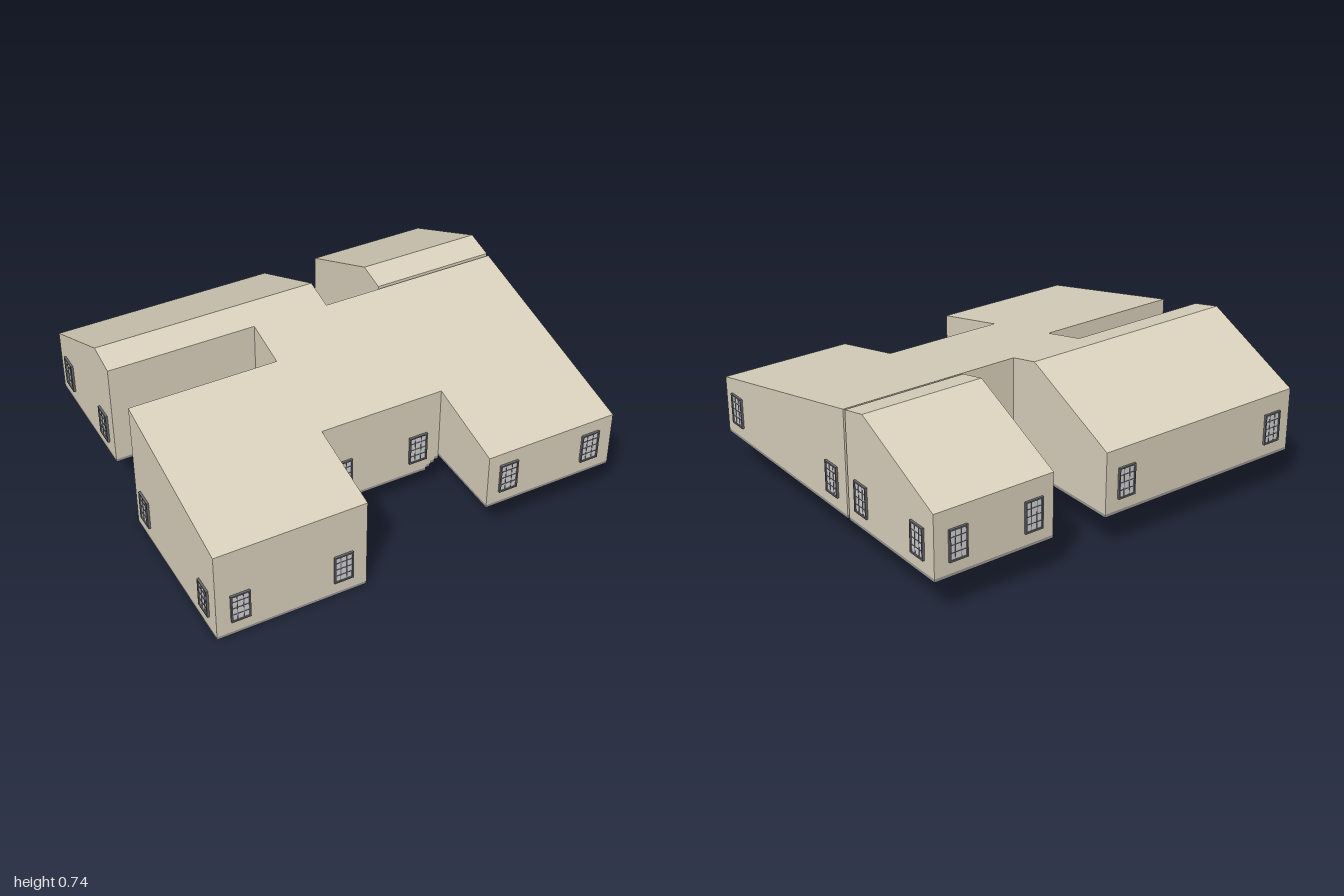
import * as THREE from 'three';

const mat = (name, color) => Object.assign(new THREE.MeshStandardMaterial({ color }), { name });

export function createModel() {
  const plaster = mat('plaster', 0xdbd2be);
  const stone = mat('stone', 0x9a9797);
  const floorWood = mat('floorWood', 0x43240c);
  const frameGrey = mat('frameGrey', 0x68686c);
  const glass = mat('glass', 0xd2d2d6);

  const house = new THREE.Group();
  house.name = 'house';
  const STEP = 0.0155; // height of a stair step and of the plinth
  const RIDGE_Z = -0.355, RIDGE_Y = 0.74;
  const W = 0.988; // half width of the walls
  const roofY = z => z > RIDGE_Z ? RIDGE_Y - (z - RIDGE_Z) * 0.2235 : RIDGE_Y + (z - RIDGE_Z) * 0.477;

  function box(parent, name, material, x0, x1, y0, y1, z0, z1) {
    const m = new THREE.Mesh(new THREE.BoxGeometry(x1 - x0, y1 - y0, z1 - z0), material);
    m.position.set((x0 + x1) / 2, (y0 + y1) / 2, (z0 + z1) / 2);
    m.name = name;
    parent.add(m);
    return m;
  }

  // Walls and sloped roof in one solid: side outline (z, y) swept along x
  function shell(parent, x0, x1, z0, z1, base) {
    const pts = [[z0, base], [z1, base], [z1, roofY(z1)]];
    if (z0 < RIDGE_Z && z1 > RIDGE_Z) pts.push([RIDGE_Z, RIDGE_Y]);
    pts.push([z0, roofY(z0)]);
    const shape = new THREE.Shape(pts.map(p => new THREE.Vector2(...p)));
    const geo = new THREE.ExtrudeGeometry(shape, { depth: x1 - x0, bevelEnabled: false });
    geo.rotateY(-Math.PI / 2).translate(x1, 0, 0);
    const m = new THREE.Mesh(geo, plaster);
    m.name = 'wallsAndRoof';
    parent.add(m);
  }

  // A room: shell on a thin plinth with a dark floor beneath
  function room(name, x0, x1, z0, z1, base) {
    const g = new THREE.Group();
    g.name = name;
    shell(g, x0, x1, z0, z1, base + STEP);
    box(g, 'plinth', stone, x0, x1, base + 0.002, base + STEP, z0, z1);
    box(g, 'floor', floorWood, x0 + 0.001, x1 - 0.001, base, base + 0.003, z0 + 0.001, z1 - 0.001);
    house.add(g);
  }

  // A flight of steps with the walls above it; along = 'x' rises to +x, 'z' rises to -z
  function stairs(name, along, n, x0, x1, z0, z1, base) {
    const g = new THREE.Group();
    g.name = name;
    for (let i = 0; i < n; i++) {
      const a = i / n, b = (i + 1) / n, y = base + i * STEP;
      const [xa, xb, za, zb] = along === 'x'
        ? [x0 + (x1 - x0) * a, x0 + (x1 - x0) * b, z0, z1]
        : [x0, x1, z1 - (z1 - z0) * b, z1 - (z1 - z0) * a];
      box(g, 'step', stone, xa, xb, y, y + STEP, za, zb);
      shell(g, xa, xb, za, zb, y + STEP);
    }
    house.add(g);
  }

  const MID = 8 * STEP, TOP = 12 * STEP; // floor levels

  // Low front wing
  room('lowWing', -W, -0.42, 0.015, 0.855, 0);
  room('lowWingFront', -0.42, -0.27, 0.44, 0.855, 0);
  stairs('lowStairs', 'x', 8, -0.42, -0.27, 0.015, 0.44, 0);
  // Middle hall
  room('hall', -0.27, 0.10, -0.115, 0.445, MID);
  room('hallCentre', 0.10, 0.25, -0.205, 0.445, MID);
  room('hallSide', 0.25, 0.335, -0.205, 0.18, MID);
  stairs('sideStairs', 'x', 4, 0.25, 0.335, 0.18, 0.445, MID);
  stairs('backStairs', 'z', 4, -0.27, 0.10, -0.205, -0.115, MID);
  // Upper rooms
  room('rightWing', 0.335, W, -0.205, 0.855, TOP);
  room('backRoom', -W, 0.10, -0.86, -0.21, TOP);
  room('backRoomLink', -0.27, 0.10, -0.21, -0.205, TOP);
  room('cornerRoom', 0.385, W, -0.86, -0.22, TOP);
  box(house, 'cornerRoomLink', plaster, 0.51, 0.86, TOP, 0.405, -0.22, -0.205);

  // Panels closing the spaces beside the stairs
  box(house, 'lowStairPanel', stone, -0.42, -0.27, 0.002, MID, 0.437, 0.441);
  box(house, 'sideStairPanel', stone, 0.25, 0.335, MID, TOP, 0.179, 0.183);
  box(house, 'backStairPanel', stone, 0.097, 0.101, MID, TOP, -0.205, -0.115);
  box(house, 'hallFloorEdge', floorWood, 0.333, 0.338, MID, TOP, -0.207, 0.179);

  // Barred window, built facing +z
  function windowAt(x, y, z, turn) {
    const g = new THREE.Group();
    g.name = 'window';
    const w = 0.046, h = 0.075, t = 0.007, d = 0.011;
    for (const s of [-1, 1]) {
      const cx = s * (w - t / 2), cy = s * (h - t / 2);
      box(g, 'frameSide', frameGrey, cx - t / 2, cx + t / 2, -h, h, 0, d);
      box(g, 'frameEnd', frameGrey, -w + t, w - t, cy - t / 2, cy + t / 2, 0, d);
    }
    box(g, 'pane', glass, -w + t, w - t, -h + t, h - t, 0, 0.005);
    const b = 0.0015;
    for (const k of [-1, 1]) box(g, 'bar', frameGrey, k * 0.015 - b, k * 0.015 + b, -h + t, h - t, 0.004, 0.007);
    for (const k of [-1, 0, 1]) box(g, 'bar', frameGrey, -w + t, w - t, k * 0.036 - b, k * 0.036 + b, 0.004, 0.007);
    g.position.set(x, y, z);
    g.rotation.y = turn;
    house.add(g);
  }
  const LOW = 0.153, HALL = 0.275, HIGH = 0.333;
  for (const x of [-0.875, -0.385]) windowAt(x, LOW, 0.855, 0);
  for (const x of [-0.165, 0.222]) windowAt(x, HALL, 0.445, 0);
  for (const x of [0.44, 0.872]) windowAt(x, HIGH, 0.855, 0);
  for (const x of [-0.88, -0.012, 0.49, 0.872]) windowAt(x, HIGH, -0.86, Math.PI);
  for (const z of [0.75, -0.092, -0.325, -0.747]) windowAt(W, HIGH, z, Math.PI / 2);
  for (const z of [-0.747, -0.32]) windowAt(-W, HIGH, z, -Math.PI / 2);
  for (const z of [0.12, 0.742]) windowAt(-W, LOW, z, -Math.PI / 2);

  return house;
}
